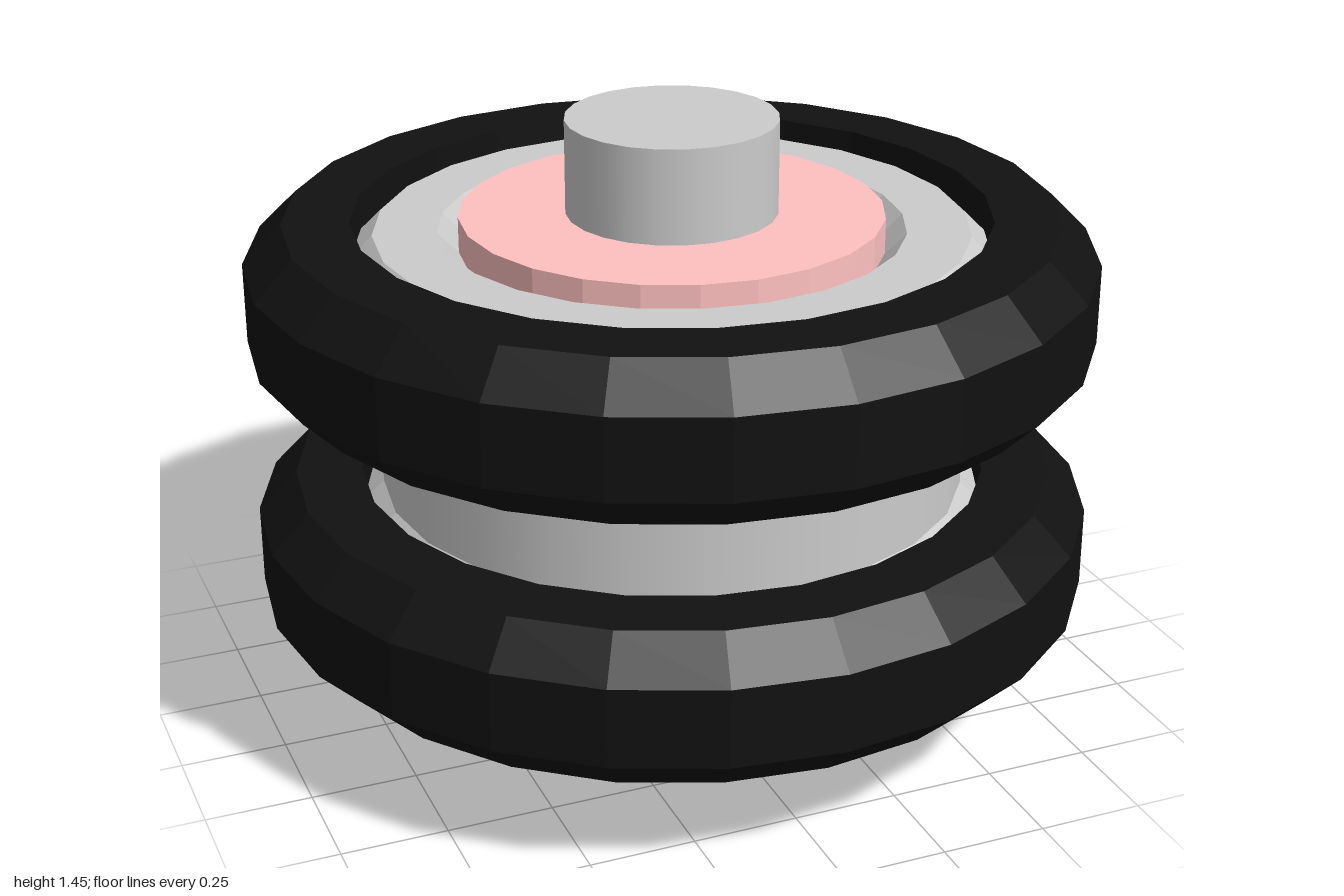
import * as THREE from 'three';

const SIDES = 24;
const MID = 0.725; // height of the mirror plane between the wheels

const grey = new THREE.MeshStandardMaterial({ color: 0xcccccc });
const greyFaceted = new THREE.MeshStandardMaterial({ color: 0xcccccc, flatShading: true });
const rubber = new THREE.MeshStandardMaterial({ color: 0x111111, flatShading: true });
const pink = new THREE.MeshStandardMaterial({ color: 0xffc0c0, flatShading: true });

function addMesh(parent, name, geometry, material, y) {
  const mesh = new THREE.Mesh(geometry, material);
  mesh.name = name;
  mesh.position.y = y;
  parent.add(mesh);
}

// Closed ring of rectangular section with all four corners bevelled
function bevelledRing(inner, outer, halfHeight, bevelIn, bevelOut) {
  const h = halfHeight;
  const profile = [
    [inner, -h + bevelIn], [inner + bevelIn, -h],
    [outer - bevelOut, -h], [outer, -h + bevelOut],
    [outer, h - bevelOut], [outer - bevelOut, h],
    [inner + bevelIn, h], [inner, h - bevelIn],
    [inner, -h + bevelIn],
  ].map(([r, y]) => new THREE.Vector2(r, y));
  return new THREE.LatheGeometry(profile, SIDES);
}

function cylinder(radius, height) {
  return new THREE.CylinderGeometry(radius, radius, height, SIDES);
}

// One wheel: rubber tyre, bevelled rim and raised bearing disc
function makeWheel(name) {
  const wheel = new THREE.Group();
  wheel.name = name;
  addMesh(wheel, 'tyre', bevelledRing(0.75, 1, 0.1875, 0, 0.092), rubber, 0);
  addMesh(wheel, 'rim', bevelledRing(0.5, 0.75, 0.152, 0.05, 0.05), greyFaceted, 0);
  addMesh(wheel, 'bearing', cylinder(0.5, 0.374), pink, 0);
  return wheel;
}

export function createModel() {
  const model = new THREE.Group();
  model.name = 'twinWheelRoller';

  // Axle through both wheels, and the drum between them
  addMesh(model, 'axle', cylinder(0.25, 1.45), grey, MID);
  addMesh(model, 'drum', cylinder(0.7, 0.56), grey, MID);

  for (const [name, side] of [['upperWheel', 1], ['lowerWheel', -1]]) {
    const wheel = makeWheel(name);
    wheel.position.y = MID + side * 0.3125;
    model.add(wheel);
  }
  return model;
}
